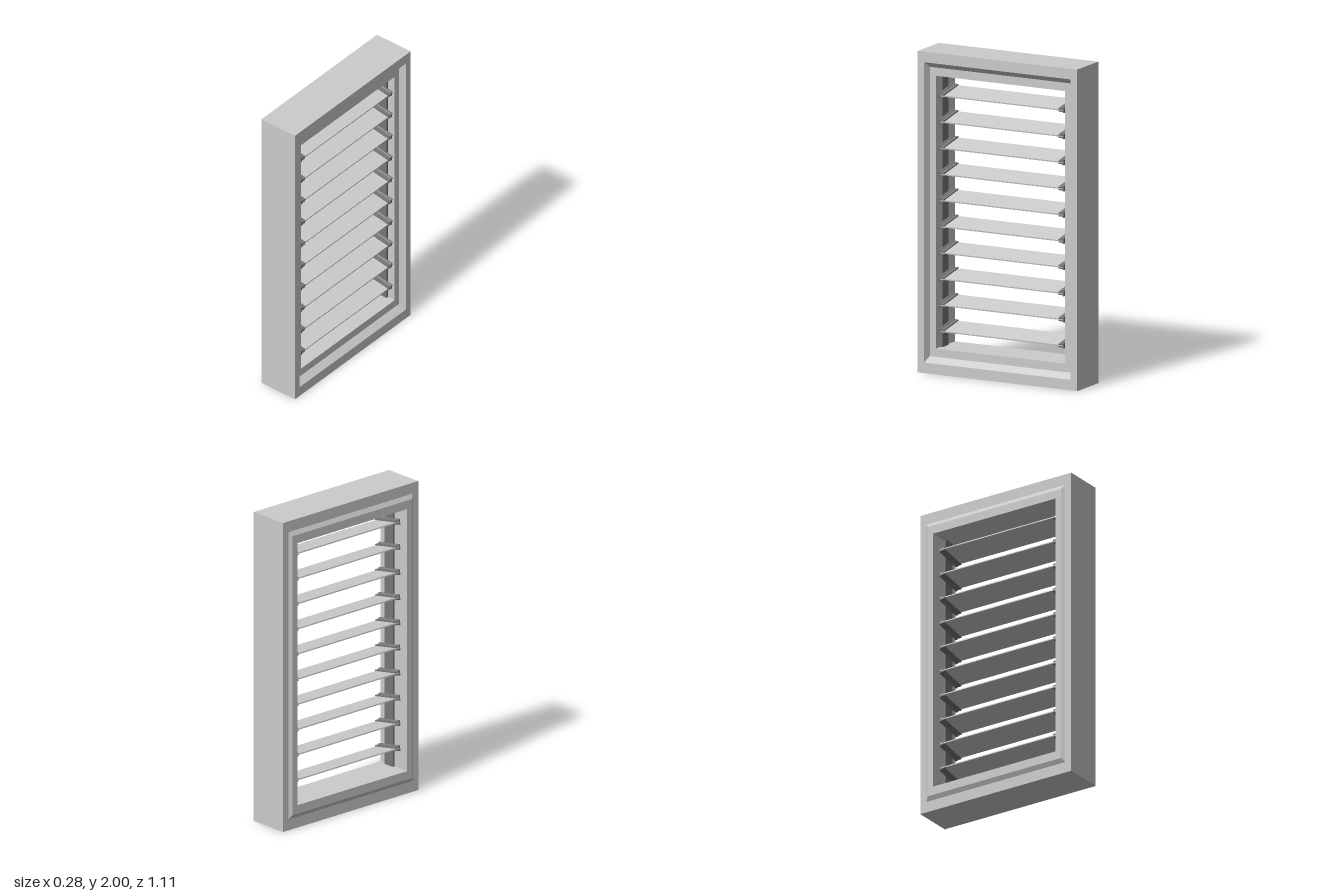
import * as THREE from 'three';

const frameMat = new THREE.MeshStandardMaterial({ color: 0xcccccc, flatShading: true });
const slatMat = new THREE.MeshStandardMaterial({ color: 0xcccccc, flatShading: true });
const darkMat = new THREE.MeshStandardMaterial({ color: 0x777777, flatShading: true });

// Sweeps a profile of [x, inset in z, inset in y] round a mitred rectangle.
function mitredFrame(profile, halfWidth, height) {
  const corners = [[-1, 0], [1, 0], [1, 1], [-1, 1]];
  const point = ([x, insetZ, insetY], [sz, top]) =>
    [x, top ? height - insetY : insetY, sz * (halfWidth - insetZ)];
  const pos = [];
  profile.forEach((p, i) => {
    const q = profile[(i + 1) % profile.length];
    corners.forEach((c, k) => {
      const next = corners[(k + 1) % 4];
      const a = point(p, c), b = point(q, c), d = point(q, next), e = point(p, next);
      pos.push(...a, ...b, ...d, ...a, ...d, ...e);
    });
  });
  const geo = new THREE.BufferGeometry();
  geo.setAttribute('position', new THREE.Float32BufferAttribute(pos, 3));
  geo.computeVertexNormals();
  return geo;
}

// Channel section in (z, y), closed at the outer end and open toward the slat.
function clipGeometry(length) {
  const shape = new THREE.Shape([
    [0.437, -0.017], [0.437, 0.017], [0.428, 0.017], [0.422, 0.011], [0.398, 0.011],
    [0.398, 0.004], [0.43, 0.004], [0.43, -0.004], [0.398, -0.004],
    [0.398, -0.011], [0.422, -0.011], [0.428, -0.017],
  ].map(([z, y]) => new THREE.Vector2(z, y)));
  const geo = new THREE.ExtrudeGeometry(shape, { depth: length, bevelEnabled: false });
  geo.translate(0, 0, -length / 2);
  geo.rotateY(-Math.PI / 2);
  return geo;
}

export function createModel() {
  const model = new THREE.Group();
  model.name = 'louvreWindow';
  const add = (parent, name, geo, mat) => {
    const mesh = new THREE.Mesh(geo, mat);
    mesh.name = name;
    parent.add(mesh);
    return mesh;
  };

  // Outer frame: recessed rebate on one face, raised bevelled step on the other
  add(model, 'frame', mitredFrame([
    [-0.125, 0, 0], [0.14, 0, 0], [0.14, 0.045, 0.066], [0.10, 0.062, 0.1],
    [0.10, 0.105, 0.152], [-0.14, 0.105, 0.152], [-0.14, 0.064, 0.097], [-0.125, 0.045, 0.07],
  ], 0.555, 2), frameMat);

  // Upright strips that carry the slat clips
  for (const side of [-1, 1]) {
    const strip = add(model, 'clipStrip', new THREE.BoxGeometry(0.075, 1.696, 0.015), darkMat);
    strip.position.set(0.01, 1, side * 0.4425);
  }

  // Tilted slats with a clip at each end
  const slatGeo = new THREE.BoxGeometry(0.18, 0.008, 0.86);
  const clipGeo = clipGeometry(0.185);
  for (let i = 0; i < 10; i++) {
    const louvre = new THREE.Group();
    louvre.name = 'louvre';
    louvre.position.set(0, 0.275 + i * 0.1628, 0);
    louvre.rotation.z = -0.18;
    add(louvre, 'slat', slatGeo, slatMat);
    add(louvre, 'clip', clipGeo, darkMat);
    add(louvre, 'clip', clipGeo, darkMat).rotation.y = Math.PI;
    model.add(louvre);
  }
  return model;
}
